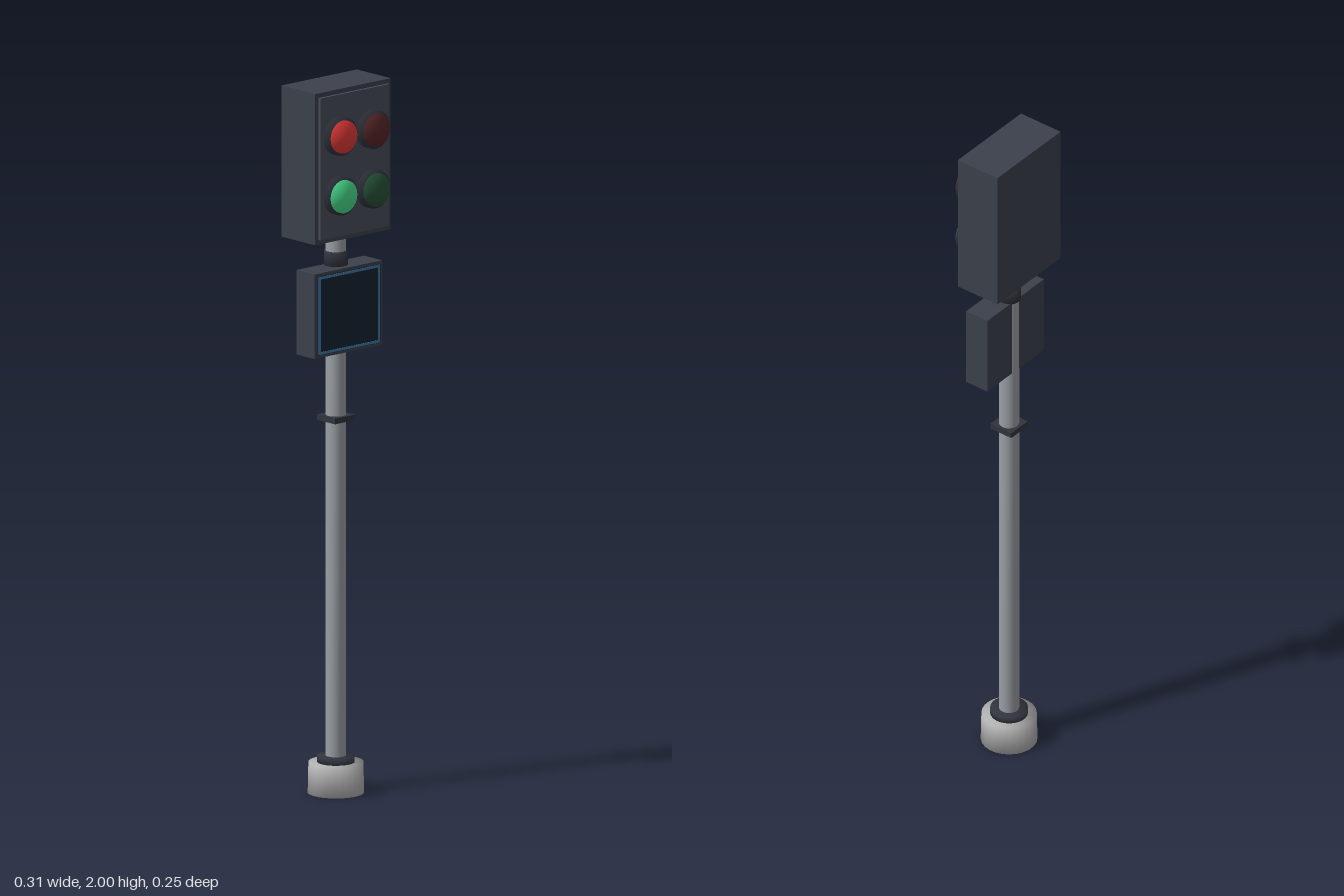
import * as THREE from 'three';
import { mergeVertices } from 'three/addons/utils/BufferGeometryUtils.js';

const mat = (color) => new THREE.MeshStandardMaterial({ color });
const HOUSING = mat(0x3b404b);
const PLATE = mat(0x4a4e5a);
const DARK = mat(0x30343d);
const STEEL = mat(0x9a9ea3);
const CONCRETE = mat(0xb4b4b4);
const SCREEN = mat(0x182231);
const BLUE = mat(0x3b78a8);

function add(parent, name, geometry, material, x, y, z) {
  const mesh = new THREE.Mesh(geometry, material);
  mesh.name = name;
  mesh.position.set(x, y, z);
  parent.add(mesh);
  return mesh;
}

const box = (w, h, d) => new THREE.BoxGeometry(w, h, d);

// Cylinder whose shading runs smoothly over its rims
function softCylinder(rTop, rBottom, height, sides = 24) {
  const g = new THREE.CylinderGeometry(rTop, rBottom, height, sides);
  g.deleteAttribute('uv');
  g.deleteAttribute('normal');
  const merged = mergeVertices(g, 1e-5);
  merged.computeVertexNormals();
  return merged;
}

// Upright cylinder between two heights
function post(parent, name, rTop, rBottom, y0, y1, material) {
  return add(parent, name, softCylinder(rTop, rBottom, y1 - y0), material, 0, (y0 + y1) / 2, 0);
}

// Lamp: dark bezel with a lens disc in front
function lamp(parent, name, x, y, color) {
  const group = new THREE.Group();
  group.name = name;
  group.position.set(x, y, 0);
  const bezel = add(group, 'bezel', softCylinder(0.054, 0.054, 0.026), DARK, 0, 0, 0.083);
  const lens = add(group, 'lens', softCylinder(0.046, 0.046, 0.02), mat(color), 0, 0, 0.094);
  bezel.rotation.x = lens.rotation.x = Math.PI / 2;
  parent.add(group);
}

export function createModel() {
  const model = new THREE.Group();
  model.name = 'pedestrianSignal';

  // Pole with its foot and collar
  const stand = new THREE.Group();
  stand.name = 'stand';
  stand.position.set(-0.002, 0, -0.008);
  model.add(stand);
  post(stand, 'base', 0.076, 0.078, 0, 0.086, CONCRETE);
  post(stand, 'baseFlange', 0.052, 0.052, 0.08, 0.104, DARK);
  post(stand, 'pole', 0.028, 0.028, 0.09, 1.6, STEEL);
  post(stand, 'collar', 0.033, 0.033, 1.485, 1.527, DARK);

  // Everything mounted on the pole is turned by 20 degrees
  const turn = THREE.MathUtils.degToRad(20);
  const clamp = add(stand, 'clamp', box(0.073, 0.016, 0.073), DARK, 0, 1.056, 0);
  clamp.rotation.y = turn;

  // Signal head
  const head = new THREE.Group();
  head.name = 'signalHead';
  head.position.set(0, 1.787, -0.012);
  head.rotation.y = turn;
  model.add(head);
  add(head, 'housing', box(0.279, 0.426, 0.138), HOUSING, 0, 0, 0);
  add(head, 'facePlate', box(0.254, 0.4, 0.012), PLATE, 0, 0, 0.071);
  lamp(head, 'redLampLit', -0.061, 0.085, 0xe83a3a);
  lamp(head, 'redLampUnlit', 0.06, 0.085, 0x5a2729);
  lamp(head, 'greenLampLit', -0.061, -0.083, 0x4ae290);
  lamp(head, 'greenLampUnlit', 0.06, -0.083, 0x28563a);

  // Display box, its screen framed by a thin border
  const display = new THREE.Group();
  display.name = 'displayBox';
  display.position.set(0.003, 1.368, 0.005);
  display.rotation.y = turn;
  model.add(display);
  add(display, 'displayHousing', box(0.25, 0.238, 0.074), HOUSING, 0, 0, 0);
  add(display, 'screen', box(0.232, 0.222, 0.006), SCREEN, 0, 0, 0.037);
  for (const s of [-1, 1]) {
    add(display, 'screenBorder', box(0.226, 0.007, 0.002), BLUE, 0, s * 0.106, 0.0405);
    add(display, 'screenBorder', box(0.007, 0.205, 0.002), BLUE, s * 0.1095, 0, 0.0405);
  }

  return model;
}
